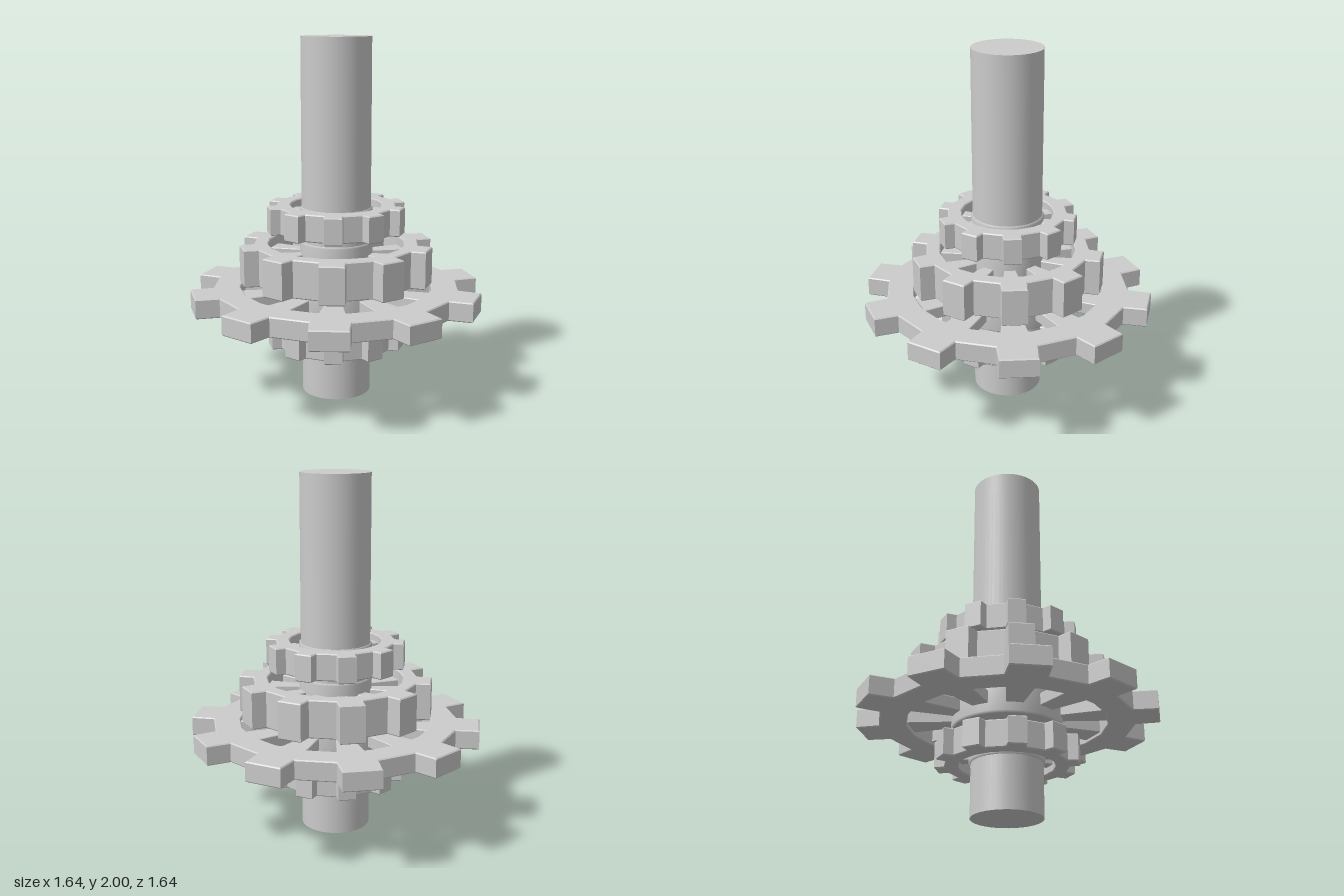
import * as THREE from 'three';

const TEETH = 10;
const STEP = (Math.PI * 2) / TEETH;
const START = -Math.PI / 2;
const material = new THREE.MeshStandardMaterial({ color: 0xcccccc });

function add(parent, name, geometry) {
  const mesh = new THREE.Mesh(geometry, material);
  mesh.name = name;
  parent.add(mesh);
  return mesh;
}

const polar = (r, a) => new THREE.Vector2(r * Math.cos(a), r * Math.sin(a));

// Extrudes an outline into a horizontal plate centred on y = 0, with small bevels
function plate(shape, thickness, bevel) {
  const geometry = new THREE.ExtrudeGeometry(shape, {
    depth: thickness - 2 * bevel, bevelEnabled: true, bevelSegments: 1,
    bevelSize: bevel, bevelThickness: bevel, bevelOffset: -bevel,
  });
  geometry.translate(0, 0, bevel - thickness / 2);
  return geometry.rotateX(Math.PI / 2);
}

// Toothed ring: each pitch is half tooth, half straight valley
function rimGeometry({ root, tip, inner, thickness }) {
  const outline = [], hole = [];
  const inset = STEP * 0.05;
  for (let i = 0; i < TEETH; i++) {
    const a = START + i * STEP, b = a + STEP / 2;
    outline.push(polar(root, a), polar(tip, a + inset), polar(tip, b - inset), polar(root, b));
    hole.push(polar(inner, a), polar(inner, b));
  }
  const shape = new THREE.Shape(outline);
  shape.holes.push(new THREE.Path(hole.reverse()));
  return plate(shape, thickness, 0.006);
}

// Spoke narrowing from the rim towards the hub
function spokeGeometry({ inner, hub, spoke }) {
  const wide = inner * Math.sin(STEP / 4) * 0.96, narrow = Math.min(wide * 0.75, hub * 0.15);
  const shape = new THREE.Shape([
    new THREE.Vector2(hub - 0.02, -narrow), new THREE.Vector2(inner + 0.01, -wide),
    new THREE.Vector2(inner + 0.01, wide), new THREE.Vector2(hub - 0.02, narrow),
  ]);
  return plate(shape, spoke, 0.004);
}

// Bevelled collar around the shaft
function hubGeometry({ hub, hubHeight }) {
  const h = hubHeight / 2, b = 0.012;
  const points = [[0.185, -h], [hub - b, -h], [hub, -h + b], [hub, h - b], [hub - b, h], [0.185, h]];
  const geometry = new THREE.LatheGeometry(points.map(p => new THREE.Vector2(...p)), 40);
  return geometry;
}

function gear(name, spec) {
  const group = new THREE.Group();
  group.name = name;
  group.position.y = spec.y;
  add(group, 'toothedRim', rimGeometry(spec));
  add(group, 'hub', hubGeometry(spec));
  const geometry = spokeGeometry(spec);
  for (let i = 0; i < TEETH; i++) {
    add(group, 'spoke', geometry).rotation.y = -(START + (i + 0.25) * STEP);
  }
  return group;
}

export function createModel() {
  const model = new THREE.Group();
  model.name = 'gearShaft';

  // Central shaft
  add(model, 'shaft', new THREE.CylinderGeometry(0.193, 0.193, 2, 48)).position.y = 1;

  // Gears from bottom to top
  const small = { root: 0.333, tip: 0.387, inner: 0.256, thickness: 0.15, hub: 0.203, hubHeight: 0.13, spoke: 0.07 };
  model.add(
    gear('lowerSmallGear', { ...small, y: 0.352 }),
    gear('largeGear', { y: 0.565, root: 0.69, tip: 0.818, inner: 0.54, thickness: 0.11, hub: 0.3, hubHeight: 0.18, spoke: 0.07 }),
    gear('mediumGear', { y: 0.76, root: 0.462, tip: 0.542, inner: 0.382, thickness: 0.21, hub: 0.203, hubHeight: 0.24, spoke: 0.1 }),
    gear('upperSmallGear', { ...small, y: 1.007 }),
  );
  return model;
}
